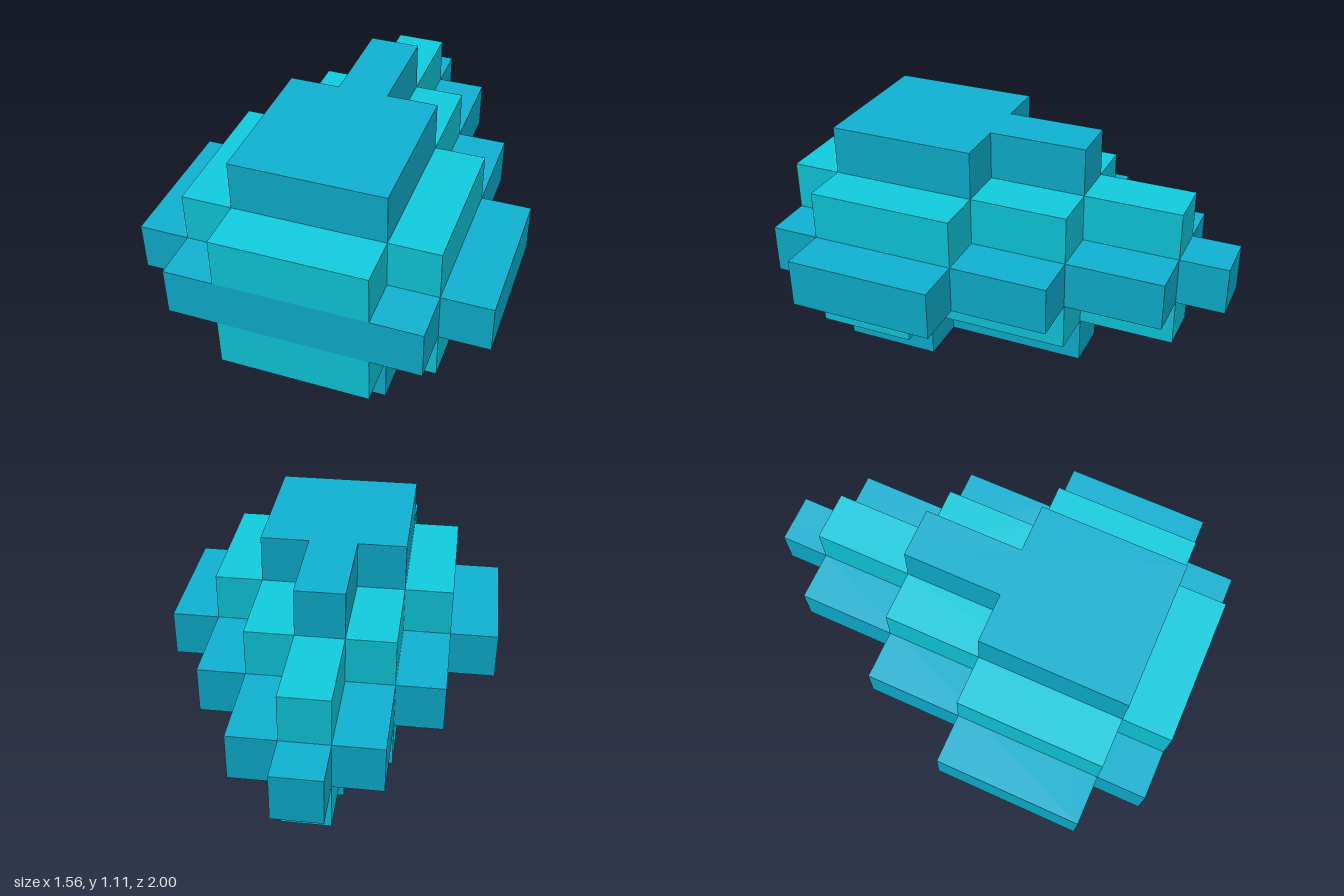
import * as THREE from 'three';

const U = 2 / 9; // one voxel

const blue = new THREE.MeshStandardMaterial({ color: 0x0eb0d0, flatShading: true });
const cyan = new THREE.MeshStandardMaterial({ color: 0x0fcadd, flatShading: true });

// Mirrored stepped slab: steps run front to back as [half width, z where the step ends], in voxels
function layer(name, level, front, steps, material) {
  const side = [];
  let z = front;
  for (const [halfWidth, end] of steps) {
    side.push([halfWidth, z], [halfWidth, end]);
    z = end;
  }
  const mirrored = side.map(([x, zz]) => [-x, zz]).reverse();
  const outline = [...side, ...mirrored].map(([x, zz]) => new THREE.Vector2(x * U, -zz * U));
  const geometry = new THREE.ExtrudeGeometry(new THREE.Shape(outline), { depth: U, bevelEnabled: false });
  geometry.rotateX(-Math.PI / 2); // lay the outline flat, thickness upwards
  const mesh = new THREE.Mesh(geometry, material);
  mesh.name = name;
  mesh.position.y = level * U;
  return mesh;
}

export function createModel() {
  const group = new THREE.Group();
  group.name = 'voxelGem';
  group.add(
    layer('bottomLayer', 0, 3.5, [[1.5, 1.5], [0.5, -1.5]], blue),
    layer('lowerLayer', 1, 4.5, [[1.5, 3.5], [2.5, 1.5], [1.5, -1.5], [0.5, -3.5]], cyan),
    layer('middleLayer', 2, 4.5, [[2.5, 3.5], [3.5, 0.5], [2.5, -1.5], [1.5, -3.5], [0.5, -4.5]], blue),
    layer('upperLayer', 3, 4.5, [[1.5, 3.5], [2.5, 0.5], [1.5, -1.5], [0.5, -3.5]], cyan),
    layer('topLayer', 4, 3.5, [[1.5, 0.5], [0.5, -1.5]], blue),
  );
  return group;
}
